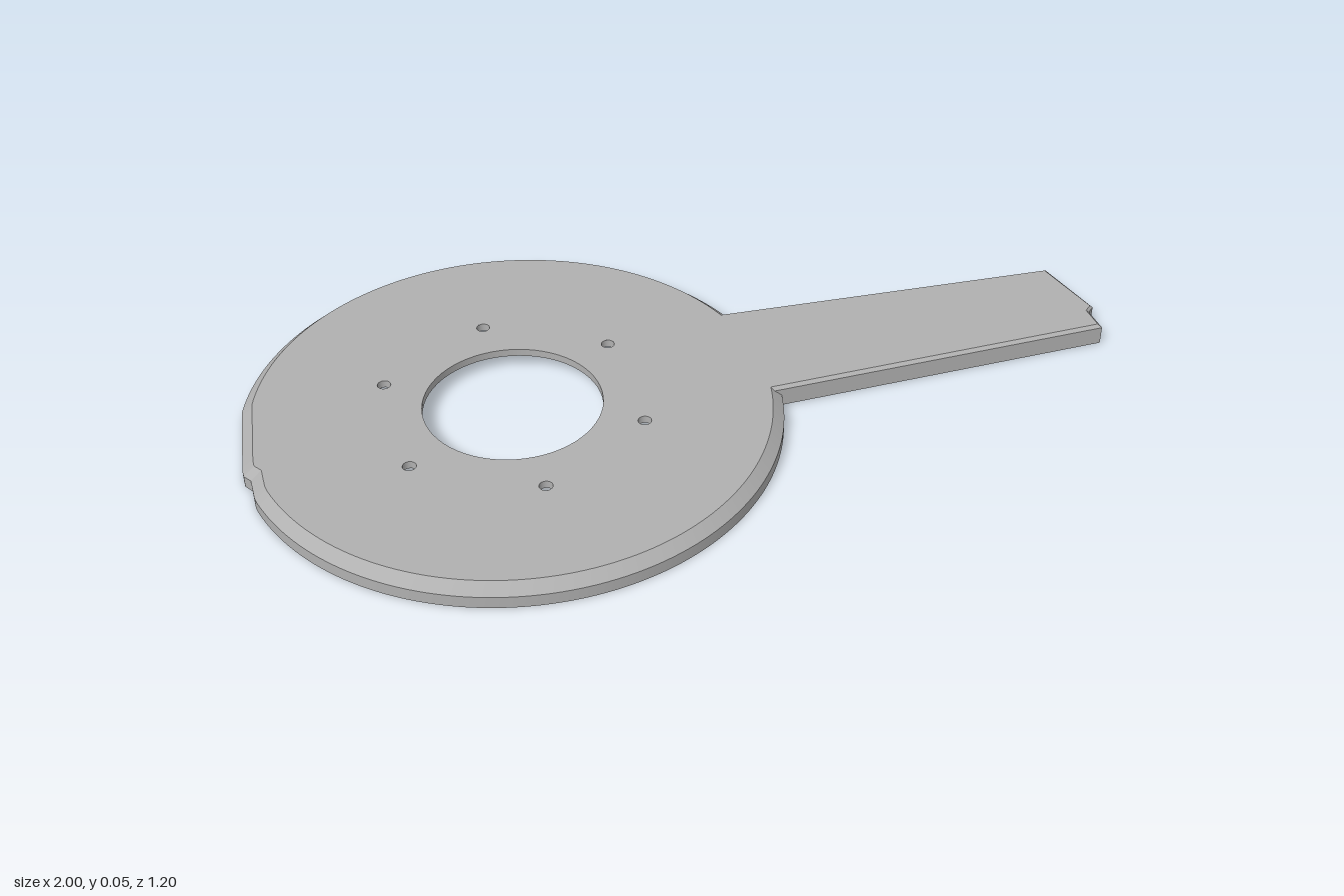
import * as THREE from 'three';
import { toCreasedNormals } from 'three/addons/utils/BufferGeometryUtils.js';

const CX = -0.4;      // disc centre
const TOP = 0.05;     // upper face
const CEIL = 0.032;   // underside of the plate
const HOLES = [[CX, 0, 0.2]];
for (let i = 0; i < 6; i++) {
  const a = Math.PI / 2 + i * Math.PI / 3;
  HOLES.push([CX + 0.3 * Math.cos(a), 0.3 * Math.sin(a), 0.015]);
}

// Plan outline as [x, z]: disc of radius r joined to the arm, arm inset by e
function outline(r, e) {
  const pts = [], n = 180, d = 0.6 - r;
  const a0 = Math.asin((0.19 - e) / r);
  const a1 = 2 * Math.PI - Math.asin((0.127 - e) / r);
  for (let i = 0; i <= n; i++) {
    const a = a0 + (a1 - a0) * i / n;
    const z = -r * Math.sin(a);
    // stepped flat on the side of the disc away from the arm
    const flat = z > 0.055 ? -0.985 : -0.975 - 0.025 * (z + 0.17) / 0.22;
    pts.push([Math.max(CX + r * Math.cos(a), flat + d), z]);
  }
  pts.push([0.982 - e, 0.127 - e], [0.982 - e, 0.06], [1 - e, 0.045], [0.965 - e, -0.132 + e]);
  return pts;
}

// Walls joining a list of [radius, arm inset, height] outlines
function loft(levels) {
  const rings = levels.map(([r, e, y]) => outline(r, e).map(([x, z]) => [x, y, z]));
  const pos = [];
  for (let k = 0; k < rings.length - 1; k++) {
    const lo = rings[k], hi = rings[k + 1], n = lo.length;
    for (let i = 0; i < n; i++) {
      const j = (i + 1) % n;
      pos.push(...lo[i], ...lo[j], ...hi[j], ...lo[i], ...hi[j], ...hi[i]);
    }
  }
  const g = new THREE.BufferGeometry();
  g.setAttribute('position', new THREE.Float32BufferAttribute(pos, 3));
  g.computeVertexNormals();
  return toCreasedNormals(g, 0.3);
}

// Flat perforated face at height y
function face(r, e, y, down) {
  const shape = new THREE.Shape(outline(r, e).map(([x, z]) => new THREE.Vector2(x, -z)));
  for (const [x, z, hr] of HOLES) {
    shape.holes.push(new THREE.Path().absarc(x, -z, hr, 0, Math.PI * 2, true));
  }
  const g = new THREE.ShapeGeometry(shape, 32);
  g.rotateX(-Math.PI / 2).translate(0, y, 0);
  if (down) {
    g.index.array.reverse();
    g.computeVertexNormals();
  }
  return g;
}

export function createModel() {
  const group = new THREE.Group();
  const grey = new THREE.MeshStandardMaterial({ color: 0xb0b0b0 });
  grey.name = 'grey';
  const greyInside = new THREE.MeshStandardMaterial({ color: 0xb0b0b0, side: THREE.DoubleSide });
  greyInside.name = 'grey two sided';
  const add = (name, geo, parent = group, mat = grey) => {
    const m = new THREE.Mesh(geo, mat);
    m.name = name;
    parent.add(m);
    return m;
  };

  // Hollow rim: inner wall, foot, outer wall, chamfer
  add('rim', loft([
    [0.565, 0.015, CEIL], [0.585, 0.013, 0.018], [0.585, 0.013, 0],
    [0.6, 0, 0], [0.6, 0, 0.028], [0.583, 0, 0.043], [0.575, 0.008, TOP],
  ]));
  add('plateTop', face(0.575, 0.008, TOP, false));
  add('plateUnderside', face(0.565, 0.015, CEIL, true));

  // Walls of the central opening and the screw holes
  HOLES.forEach(([x, z, r], i) => {
    const g = new THREE.CylinderGeometry(r, r, TOP - CEIL, i ? 32 : 64, 1, true);
    add(i ? 'screwHoleWall' : 'centreHoleWall', g, group, greyInside)
      .position.set(x, (TOP + CEIL) / 2, z);
  });

  // Ribbed mounting bosses under the plate
  const section = [[0.013, CEIL], [0.013, 0.006], [0.026, 0.006], [0.026, CEIL]]
    .map(([r, y]) => new THREE.Vector2(r, y));
  const bossGeo = toCreasedNormals(new THREE.LatheGeometry(section, 24), 0.5);
  for (const [x, z] of [[-0.42, -0.48], [-0.42, 0.48], [-0.9, 0.04], [0.85, -0.03]]) {
    const boss = new THREE.Group();
    boss.name = 'mountingBoss';
    boss.position.set(x, 0, z);
    add('bossTube', bossGeo, boss);
    for (let i = 0; i < 4; i++) {
      const a = i * Math.PI / 2;
      const rib = add('bossRib', new THREE.BoxGeometry(0.022, 0.018, 0.008), boss);
      rib.position.set(0.033 * Math.cos(a), CEIL - 0.009, -0.033 * Math.sin(a));
      rib.rotation.y = a;
    }
    group.add(boss);
  }
  return group;
}
